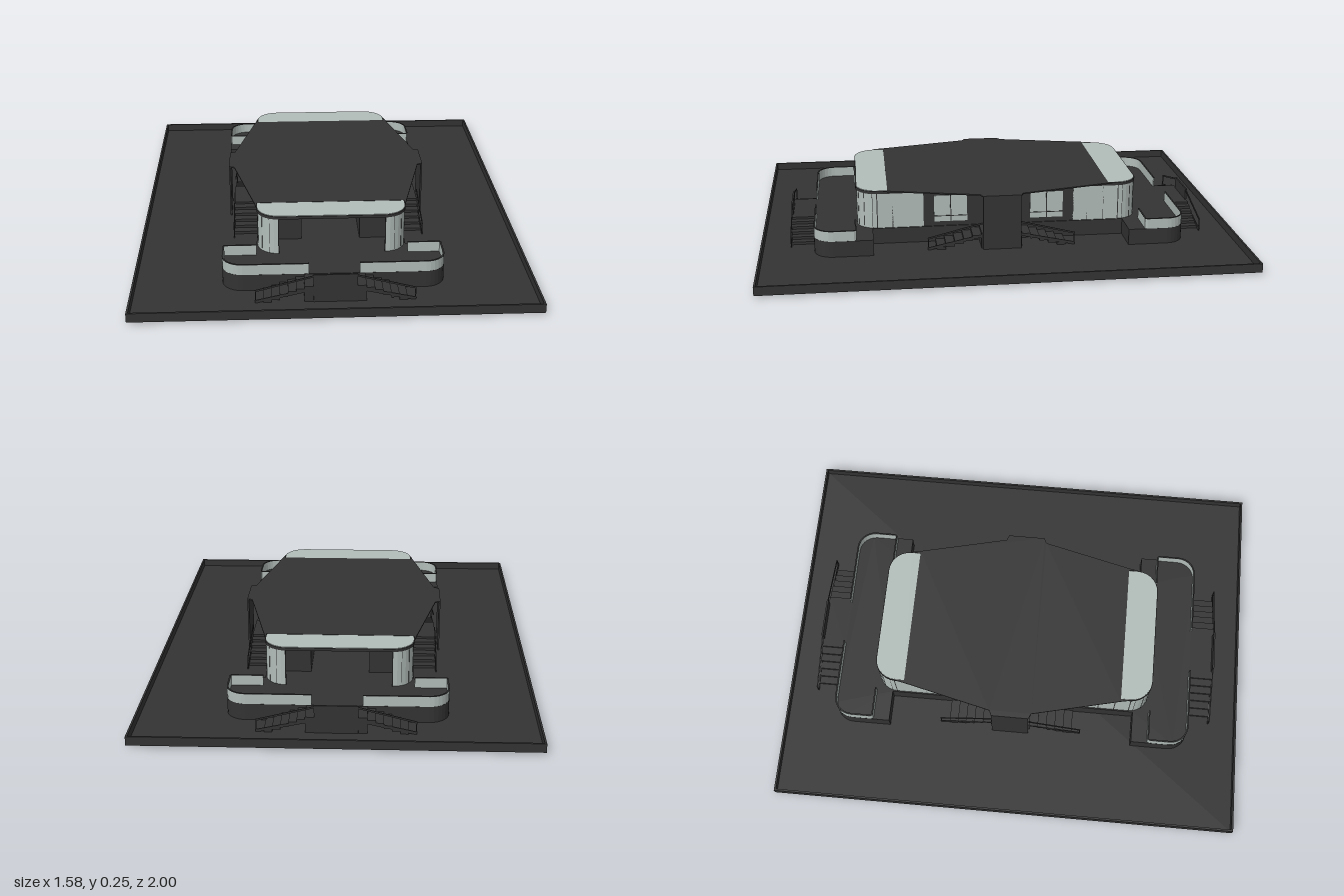
import * as THREE from 'three';

const dark = new THREE.MeshStandardMaterial({ color: 0x333333 });
const glass = new THREE.MeshStandardMaterial({ color: 0xb2bdb9 });

export function createModel() {
  const model = new THREE.Group();
  const FLOOR = 0.08, GROUND = 0.012, ROOF = 0.247;

  function add(parent, name, geometry, material = dark) {
    const mesh = new THREE.Mesh(geometry, material);
    mesh.name = name;
    parent.add(mesh);
    return mesh;
  }

  // Box given by its limits on each axis
  function box(parent, name, x0, x1, y0, y1, z0, z1, material) {
    const g = new THREE.BoxGeometry(Math.abs(x1 - x0), y1 - y0, Math.abs(z1 - z0));
    g.translate((x0 + x1) / 2, (y0 + y1) / 2, (z0 + z1) / 2);
    return add(parent, name, g, material);
  }

  // Plan outline (x, z) raised from y0 to y1
  function slab(name, shape, y0, y1, material) {
    const g = new THREE.ExtrudeGeometry(shape, { depth: y1 - y0, bevelEnabled: false, curveSegments: 8 });
    g.rotateX(Math.PI / 2).translate(0, y1, 0);
    return add(model, name, g, material);
  }

  // Thin upright wall following a plan path
  function wall(name, path, y0, y1, t, material) {
    const side = (s) => path.map((p, i) => {
      const a = path[Math.max(i - 1, 0)], b = path[Math.min(i + 1, path.length - 1)];
      const d = b.clone().sub(a).normalize();
      return new THREE.Vector2(p.x - d.y * s * t / 2, p.y + d.x * s * t / 2);
    });
    slab(name, new THREE.Shape([...side(1), ...side(-1).reverse()]), y0, y1, material);
  }

  // Quarter turn around (cx, cz)
  function arc(cx, cz, r, a0, a1, n = 7) {
    return Array.from({ length: n + 1 }, (_, i) => {
      const a = a0 + (a1 - a0) * i / n;
      return new THREE.Vector2(cx + r * Math.cos(a), cz + r * Math.sin(a));
    });
  }
  const pts = (list) => list.map(([x, z]) => new THREE.Vector2(x, z));
  const mirror = (path, sx, sz) => path.map((p) => new THREE.Vector2(p.x * sx, p.y * sz));
  // Closed outline from one quadrant, listed from +x side round to +z side
  const fourfold = (q) => new THREE.Shape([
    ...q, ...mirror(q, -1, 1).reverse(), ...mirror(q, -1, -1), ...mirror(q, 1, -1).reverse()]);

  // Ground tray with a raised rim
  box(model, 'ground', -0.79, 0.79, 0.008, GROUND, -1, 1);
  for (const s of [-1, 1]) {
    box(model, 'groundRimSide', s * 0.79, s * 0.782, 0.008, 0.045, -1, 1);
    box(model, 'groundRimEnd', -0.782, 0.782, 0.008, 0.045, s * 0.992, s);
  }

  // Podium with a wide rounded terrace at each end
  const quarter = Math.PI / 2;
  slab('podium', fourfold([...pts([[0.305, 0.535], [0.44, 0.535]]),
    ...arc(0.36, 0.7, 0.08, 0, quarter)]), 0, FLOOR);

  // Roof slab, glazed roof ends and central sheet with pointed side canopies
  const corner = arc(0.21, 0.51, 0.093, 0, quarter);
  slab('roof', fourfold(corner), 0.232, 0.244);
  for (const s of [-1, 1]) {
    const end = [...pts([[0.3, 0.47]]), ...arc(0.21, 0.51, 0.09, 0, quarter)];
    slab('roofGlazing', new THREE.Shape(mirror([...end, ...mirror(end, -1, 1).reverse()], 1, s)), 0.243, 0.246, glass);
  }
  slab('roofSheet', fourfold(pts([[0.425, 0.08], [0.402, 0.09], [0.312, 0.47]])), 0.242, ROOF);
  for (const sx of [-1, 1]) for (const sz of [-1, 1]) {
    slab('canopyTip', new THREE.Shape(mirror(pts([[0.302, 0.47], [0.312, 0.47], [0.303, 0.515]]), sx, sz)), 0.242, ROOF);
  }

  for (const sx of [-1, 1]) {
    // Inner corridor walls
    box(model, 'corridorWall', sx * 0.12, sx * 0.13, FLOOR, 0.235, -0.47, 0.47);
    box(model, 'sideWall', sx * 0.29, sx * 0.3, FLOOR, 0.235, -0.32, 0.32);

    for (const sz of [-1, 1]) {
      box(model, 'endWall', sx * 0.12, sx * 0.29, FLOOR, 0.235, sz * 0.46, sz * 0.47);

      // Window with a dividing bar
      box(model, 'window', sx * 0.288, sx * 0.302, 0.1, 0.215, sz * 0.135, sz * 0.275, glass);
      box(model, 'windowBar', sx * 0.3, sx * 0.304, 0.1, 0.215, sz * 0.203, sz * 0.207);
      box(model, 'windowBar', sx * 0.3, sx * 0.304, 0.123, 0.126, sz * 0.135, sz * 0.275);

      // Curved corner glazing and its mullions
      const glazing = mirror([...pts([[0.298, 0.32], [0.298, 0.38], [0.298, 0.45]]),
        ...arc(0.215, 0.515, 0.083, 0, quarter), ...pts([[0.23, 0.598]]).slice(1)], sx, sz);
      wall('cornerGlazing', glazing, FLOOR, 0.235, 0.004, glass);
      glazing.forEach((p, i) => {
        if (i < 4 || i % 2 === 0) {
          add(model, 'mullion', new THREE.BoxGeometry(0.004, 0.155, 0.004)).position.set(p.x, 0.1575, p.y);
        }
      });

      // Terrace balustrade wrapping the outer corner, with a dark cap and posts
      const rail = mirror([...pts([[0.305, 0.607], [0.434, 0.607], [0.437, 0.614]]),
        ...arc(0.36, 0.7, 0.077, 0, quarter), ...pts([[0.1, 0.777]])], sx, sz);
      wall('balustrade', rail, 0.075, 0.122, 0.005, glass);
      wall('balustradeCap', rail, 0.122, 0.125, 0.006);
    }
  }

  // Double stair: landing in the middle, steps falling away to both sides
  function stair(angle, near, far, landing, run, panelHalf, panelTop, panelAt) {
    const g = new THREE.Group();
    g.name = 'doubleStair';
    g.rotation.y = angle;
    model.add(g);
    box(g, 'landing', -landing, landing, GROUND, FLOOR - 0.002, near, far);
    box(g, 'landingPanel', -panelHalf, panelHalf, GROUND, panelTop, panelAt - 0.007, panelAt);
    const steps = 6, tread = run / steps;
    for (const s of [-1, 1]) {
      for (let i = 0; i < steps - 1; i++) {
        const top = FLOOR - (FLOOR - GROUND) * (i + 1) / steps;
        const x = landing + i * tread;
        box(g, 'step', s * x, s * (x + tread), top - 0.012, top, near, far);
      }
      // Sloping string under the treads and handrail above
      const x0 = panelHalf, x1 = landing + run;
      for (const [name, ya, yb, h] of [['handrail', 0.12, 0.062, 0.007], ['stairString', 0.066, 0.016, 0.012]]) {
        const bar = add(g, name, new THREE.BoxGeometry(Math.hypot(x1 - x0, ya - yb), h, 0.004));
        bar.position.set(s * (x0 + x1) / 2, (ya + yb) / 2, far - 0.002);
        bar.rotation.z = -s * Math.atan2(ya - yb, x1 - x0);
      }
      box(g, 'handrailPost', s * (x1 - 0.004), s * x1, GROUND, 0.064, far - 0.004, far);
    }
  }
  for (const a of [0, Math.PI]) stair(a, 0.775, 0.88, 0.12, 0.19, 0.085, 0.128, 0.882);
  for (const a of [quarter, -quarter]) stair(a, 0.305, 0.405, 0.085, 0.225, 0.08, ROOF, 0.425);

  return model;
}
